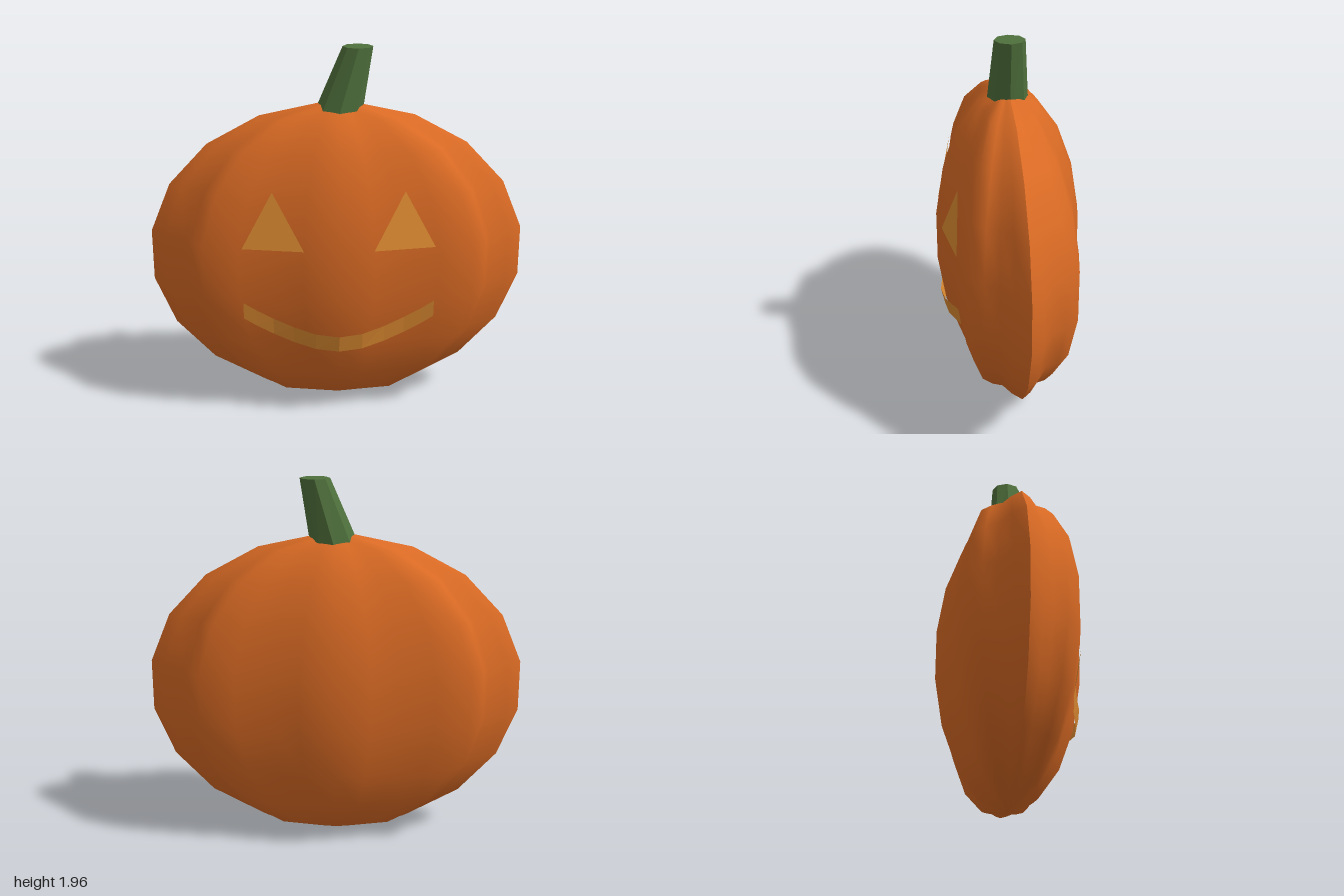
import * as THREE from 'three';

const STEP = Math.PI / 9.5; // latitude between rings
const DEPTH = 0.385;        // flattening of the body in z
const MID = 0.835, RY = 0.838, RX = 1.014;

// Eight soft ribs around the body
const rib = (a) => 0.9386 + 0.0614 * Math.cos(8 * a);
const ringRadius = (j) => (j === 0 || j === 11 ? 0 : RX * Math.cos((5.5 - j) * STEP));
const ringY = (j) => MID + RY * Math.sin((5.5 - Math.min(10, Math.max(1, j))) * STEP);

// Depth of the front skin at a given x, y
function skinZ(x, y) {
  let j = 1;
  while (j < 9 && ringY(j + 1) > y) j++;
  const t = (ringY(j) - y) / (ringY(j) - ringY(j + 1));
  const s = ringRadius(j) + (ringRadius(j + 1) - ringRadius(j)) * t;
  let lo = 0, hi = Math.PI / 2;
  for (let i = 0; i < 30; i++) {
    const a = (lo + hi) / 2;
    if (s * rib(a) * Math.cos(a) > Math.abs(x)) lo = a; else hi = a;
  }
  return s * rib(lo) * Math.sin(lo) * DEPTH;
}

// Half of the ribbed body; the halves meet in a sharp ridge at z = 0
function bodyHalf(start) {
  const g = new THREE.SphereGeometry(1, 16, 11, start, Math.PI);
  const p = g.attributes.position, uv = g.attributes.uv;
  for (let i = 0; i < p.count; i++) {
    const j = Math.round((1 - uv.getY(i)) * 11);
    const a = start + uv.getX(i) * Math.PI;
    const r = ringRadius(j) * rib(a);
    p.setXYZ(i, -r * Math.cos(a), ringY(j), r * Math.sin(a) * DEPTH);
  }
  g.computeVertexNormals();
  return g;
}

// Thin faceted surface from corner points and triangles
function facets(points, index) {
  const g = new THREE.BufferGeometry();
  g.setAttribute('position', new THREE.Float32BufferAttribute(points.flat(), 3));
  g.setIndex(index);
  const flat = g.toNonIndexed();
  flat.computeVertexNormals();
  return flat;
}

export function createModel() {
  const group = new THREE.Group();
  const material = (name, color, extra = {}) => {
    const m = new THREE.MeshStandardMaterial({ color, ...extra });
    m.name = name;
    return m;
  };
  const orange = material('orange skin', 0xd96a24);
  const green = material('green stem', 0x4f703c, { flatShading: true });
  const amber = material('amber glow', 0xdf8c31, { side: THREE.DoubleSide });
  const add = (name, geometry, mat) => {
    const mesh = new THREE.Mesh(geometry, mat);
    mesh.name = name;
    group.add(mesh);
  };

  // Body
  add('bodyFront', bodyHalf(0), orange);
  add('bodyBack', bodyHalf(Math.PI), orange);

  // Leaning, tapered stem, sunk into the top of the body
  const stem = new THREE.CylinderGeometry(0.079, 0.112, 0.41, 8);
  const p = stem.attributes.position;
  for (let i = 0; i < p.count; i++) {
    const top = p.getY(i) > 0;
    p.setX(i, top ? p.getX(i) + 0.107 : p.getX(i) * 1.22 - 0.013);
  }
  stem.translate(0, 1.755, 0);
  stem.computeVertexNormals();
  add('stem', stem, green);

  // Triangular eyes
  for (const s of [-1, 1]) {
    const corners = [[0.18, 0.975, 0.366], [0.5, 0.975, 0.311], [0.34, 1.27, 0.287]]
      .map(([x, y, z]) => [x * s, y, z]);
    add(s > 0 ? 'leftEye' : 'rightEye', facets(corners, s > 0 ? [0, 1, 2] : [0, 2, 1]), amber);
  }

  // Curved smile: a band of ten facets following the skin
  const points = [], index = [];
  for (let i = 0; i <= 10; i++) {
    const x = 0.5 * Math.sin((i - 5) * 0.22) / Math.sin(1.1);
    const low = 0.405 + 0.7 * x * x;
    const lift = 0.02 - 0.02 * Math.abs(x);
    for (const y of [low, low + 0.093]) points.push([x, y, skinZ(x, y) + lift]);
    if (i < 10) {
      const k = i * 2;
      index.push(k, k + 2, k + 3, k, k + 3, k + 1);
    }
  }
  add('mouth', facets(points, index), amber);

  return group;
}
